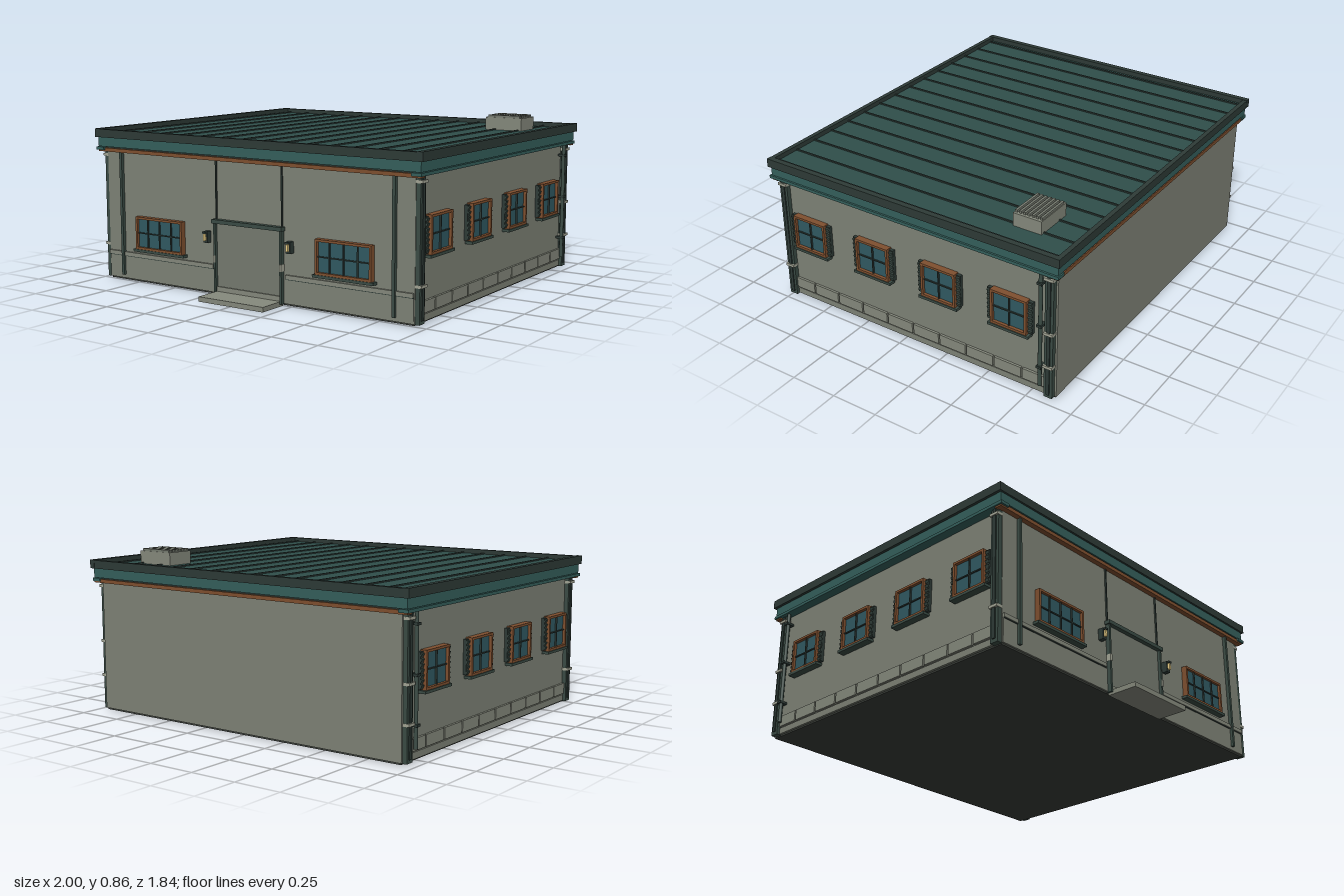
import * as THREE from 'three';

const mat = (color) => new THREE.MeshStandardMaterial({ color });
const M = {
  wall: mat(0x7f8377), panel: mat(0x767b70), stone: mat(0x868a7d), pale: mat(0xa5a797),
  roof: mat(0x2f4f4b), teal: mat(0x35605c), dark: mat(0x2e3b37), post: mat(0x3b4c45),
  copper: mat(0x80502f), glass: mat(0x315a63), lamp: mat(0xf2d68a), base: mat(0x3a3e39),
};

// Box given by its min/max on each axis
function box(parent, name, m, x0, x1, y0, y1, z0, z1) {
  const mesh = new THREE.Mesh(new THREE.BoxGeometry(x1 - x0, y1 - y0, z1 - z0), m);
  mesh.position.set((x0 + x1) / 2, (y0 + y1) / 2, (z0 + z1) / 2);
  mesh.name = name;
  parent.add(mesh);
  return mesh;
}

function pipe(parent, name, x, z, y0, y1, r) {
  const mesh = new THREE.Mesh(new THREE.CylinderGeometry(r, r, y1 - y0, 10), M.post);
  mesh.position.set(x, (y0 + y1) / 2, z);
  mesh.name = name;
  parent.add(mesh);
}

// Window facing +z, centred on its own origin, back on z = 0
function makeWindow(w, h, cols, depth, shutters) {
  const g = new THREE.Group();
  g.name = 'window';
  const a = w / 2, b = h / 2, t = 0.012;
  box(g, 'glass', M.glass, -a + t, a - t, -b + t, b - t, 0, depth * 0.55);
  for (const s of [-1, 1]) {
    const x = s * (a - t / 2), y = s * (b - t / 2);
    box(g, 'frameSide', M.copper, x - t / 2, x + t / 2, -b, b, 0, depth);
    box(g, 'frameRail', M.copper, -a + t, a - t, y - t / 2, y + t / 2, 0, depth);
  }
  for (let i = 1; i < cols; i++) {
    const x = -a + (w * i) / cols;
    box(g, 'mullion', M.dark, x - 0.003, x + 0.003, -b + t, b - t, 0, depth * 0.8);
  }
  box(g, 'transom', M.dark, -a + t, a - t, -0.003, 0.003, 0, depth * 0.75);
  box(g, 'sill', M.post, -a - 0.014, a + 0.014, -b - 0.014, -b, 0, depth + 0.004);
  if (shutters) {
    for (const s of [-1, 1]) {
      const x = s * (a + 0.013);
      box(g, 'shutter', M.dark, x - 0.012, x + 0.012, -b + 0.006, b - 0.006, 0, depth * 0.5);
      for (let i = 0; i < 7; i++) {
        const y = -b + 0.02 + (i * (h - 0.04)) / 6;
        const slat = box(g, 'shutterSlat', M.post, x - 0.011, x + 0.011, y - 0.007, y + 0.007, depth * 0.45, depth * 0.65);
        slat.rotation.x = 0.35;
      }
    }
  }
  return g;
}

function makeSide(s) {
  const g = new THREE.Group();
  g.name = s > 0 ? 'leftSide' : 'rightSide';
  const b = (name, m, x0, x1, ...r) => box(g, name, m, Math.min(s * x0, s * x1), Math.max(s * x0, s * x1), ...r);
  // Four shuttered windows
  for (let i = 0; i < 4; i++) {
    const w = makeWindow(0.2, 0.185, 2, 0.035, true);
    w.rotation.y = (s * Math.PI) / 2;
    w.position.set(s * 0.945, 0.418, 0.572 - i * 0.403);
    g.add(w);
  }
  // Plinth and its row of blocks
  b('plinth', M.wall, 0.94, 0.952, 0.015, 0.048, -0.87, 0.74);
  for (let i = 0; i < 10; i++) {
    const z = 0.745 - i * 0.161;
    b('plinthBlock', M.stone, 0.94, 0.957, 0.055, 0.112, Math.max(z - 0.152, -0.845), z);
  }
  // Corner posts with pale clamps
  for (const [z0, z1, clamps] of [[0.71, 0.757, [0.67, 0.19]], [-0.876, -0.83, [0.67, 0.375, 0.19]]]) {
    b('cornerPost', M.post, 0.94, 0.968, 0.012, 0.7, z0, z1);
    b('cornerPostRidge', M.dark, 0.96, 0.974, 0.03, 0.7, z0 + 0.014, z1 - 0.014);
    for (const y of clamps) b('postClamp', M.pale, 0.94, 0.979, y - 0.007, y + 0.007, z0 - 0.002, z1 + 0.002);
  }
  // Downspout
  pipe(g, 'downspout', s * 0.972, -0.81, 0.07, 0.7, 0.01);
  for (const y of [0.64, 0.41, 0.18]) b('downspoutBracket', M.dark, 0.94, 0.988, y - 0.006, y + 0.006, -0.824, -0.796);
  // Eaves strip
  b('gutter', M.teal, 0.94, 0.993, 0.698, 0.714, -0.912, 0.797);
  return g;
}

function makeFront() {
  const g = new THREE.Group();
  g.name = 'front';
  // Door, its frame and the step
  box(g, 'door', M.panel, -0.2, 0.2, 0.012, 0.376, 0.755, 0.767);
  box(g, 'threshold', M.stone, -0.2, 0.2, 0.012, 0.05, 0.755, 0.774);
  box(g, 'lintel', M.post, -0.217, 0.217, 0.374, 0.394, 0.755, 0.79);
  box(g, 'step', M.stone, -0.2, 0.2, 0, 0.025, 0.755, 0.918);
  for (const s of [-1, 1]) {
    const b = (name, m, x0, x1, ...r) => box(g, name, m, Math.min(s * x0, s * x1), Math.max(s * x0, s * x1), ...r);
    b('doorJamb', M.post, 0.199, 0.211, 0.012, 0.374, 0.755, 0.783);
    b('doorHinge', M.pale, 0.199, 0.213, 0.175, 0.21, 0.755, 0.786);
    b('wallSeam', M.dark, 0.2, 0.207, 0.394, 0.69, 0.755, 0.768);
    b('wallStrip', M.post, 0.832, 0.848, 0.035, 0.69, 0.755, 0.778);
    b('wainscot', M.wall, 0.214, 0.94, 0.015, 0.137, 0.755, 0.764);
    b('wainscotRail', M.stone, 0.225, 0.94, 0.139, 0.159, 0.755, 0.771);
    b('wainscotLine', M.dark, 0.225, 0.94, 0.135, 0.14, 0.755, 0.768);
    // Wall lamp
    b('lampBack', M.dark, 0.244, 0.27, 0.27, 0.328, 0.755, 0.79);
    b('lampGlow', M.lamp, 0.251, 0.263, 0.282, 0.316, 0.785, 0.801);
    b('lampCap', M.dark, 0.247, 0.267, 0.318, 0.328, 0.785, 0.803);
    const w = makeWindow(0.315, 0.172, 4, 0.03, false);
    w.position.set(s * 0.572, 0.274, 0.762);
    g.add(w);
  }
  return g;
}

function makeRoof() {
  const g = new THREE.Group();
  g.name = 'roof';
  box(g, 'fascia', M.teal, -0.986, 0.986, 0.716, 0.765, -0.907, 0.787);
  box(g, 'soffit', M.dark, -0.96, 0.96, 0.7, 0.718, -0.895, 0.775);
  box(g, 'deck', M.roof, -0.975, 0.975, 0.763, 0.784, -0.9, 0.775);
  // Copper trim on front and back
  box(g, 'frontTrim', M.copper, -0.985, 0.985, 0.69, 0.709, 0.75, 0.787);
  box(g, 'backTrim', M.copper, -0.985, 0.985, 0.69, 0.709, -0.907, -0.87);
  // Parapet
  for (const s of [-1, 1]) {
    box(g, 'parapetSide', M.dark, s * 0.985 - 0.015, s * 0.985 + 0.015, 0.765, 0.81, -0.92, 0.797);
    const z = s > 0 ? 0.785 : -0.907;
    box(g, 'parapetEnd', M.dark, -0.97, 0.97, 0.765, 0.808, z - 0.012, z + 0.012);
  }
  // Standing seams
  for (let i = -7; i <= 7; i++) {
    const x = i * 0.1347;
    box(g, 'roofSeam', M.dark, x - 0.004, x + 0.004, 0.78, 0.791, -0.895, 0.773);
  }
  // Roof vent with fins
  box(g, 'vent', M.stone, 0.615, 0.828, 0.78, 0.852, -0.72, -0.565);
  for (let i = 0; i < 7; i++) {
    const z = -0.71 + i * 0.0225;
    box(g, 'ventFin', M.panel, 0.628, 0.815, 0.85, 0.864, z - 0.006, z + 0.006);
  }
  return g;
}

export function createModel() {
  const model = new THREE.Group();
  model.name = 'building';
  box(model, 'walls', M.wall, -0.945, 0.945, 0.015, 0.702, -0.886, 0.76);
  box(model, 'foundation', M.base, -0.94, 0.94, 0.006, 0.016, -0.88, 0.755);
  model.add(makeFront(), makeSide(1), makeSide(-1), makeRoof());
  return model;
}
